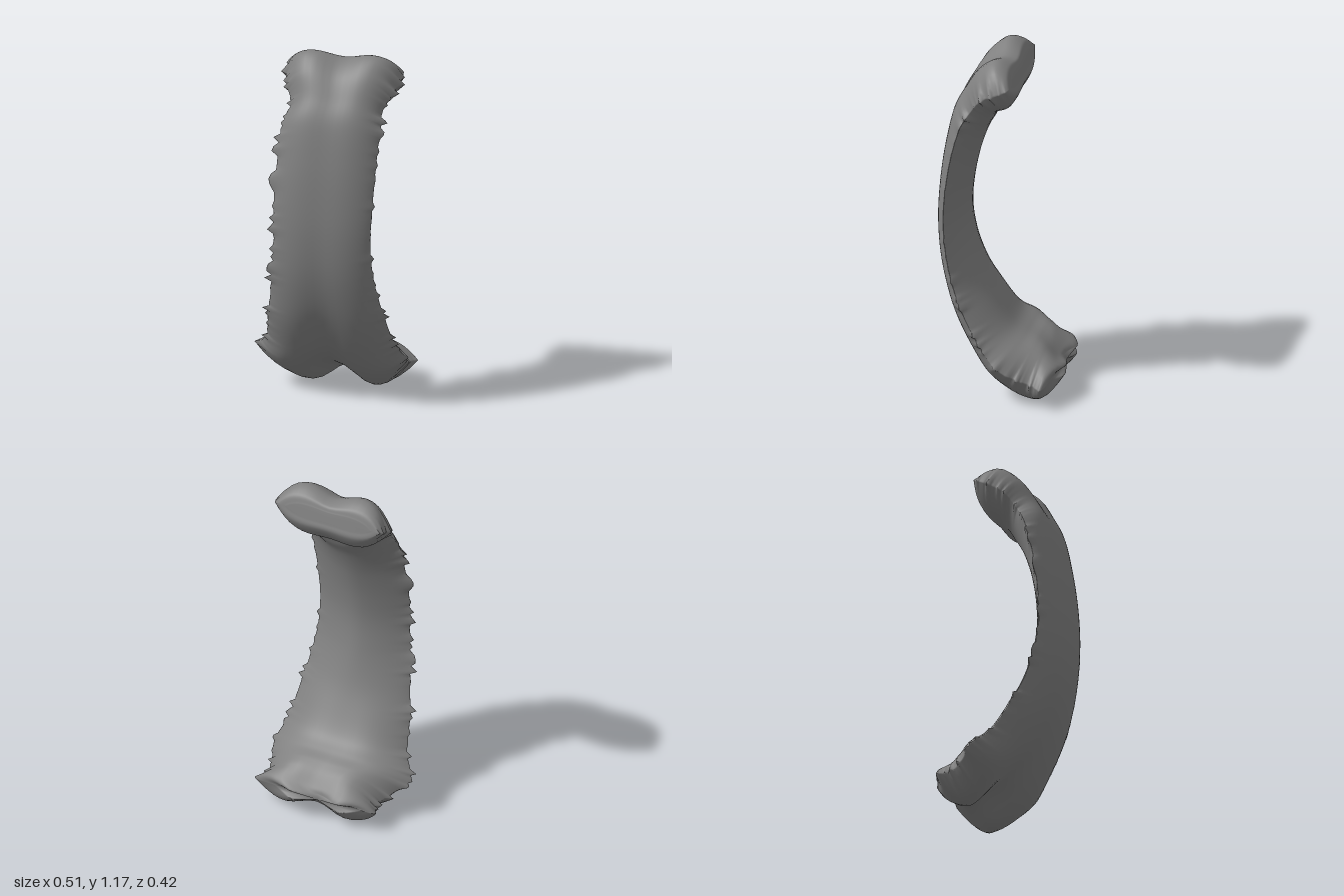
import * as THREE from 'three';

// Cross-sections from the upper end to the lower end:
// outer z, y | inner z, y | min x, max x | end factor (0 = shaft, 1 = end lobes) | groove depth
const SECTIONS = [
  [0.140, 1.130, 0.128, 1.09, -0.86, -0.56, 1.0, 0.2],
  [0.158, 1.158, 0.122, 1.06, -0.895, -0.52, 1.0, 0.28],
  [0.205, 1.172, 0.150, 1.01, -0.90, -0.51, 0.9, 0.3],
  [0.260, 1.130, 0.195, 0.98, -0.885, -0.53, 0.6, 0.24],
  [0.305, 1.060, 0.215, 0.945, -0.862, -0.55, 0.3, 0.15],
  [0.345, 0.980, 0.245, 0.89, -0.882, -0.55, 0.1, 0.1],
  [0.375, 0.850, 0.275, 0.80, -0.89, -0.555, 0, 0.08],
  [0.393, 0.720, 0.297, 0.69, -0.895, -0.56, 0, 0.08],
  [0.400, 0.600, 0.302, 0.59, -0.893, -0.565, 0, 0.1],
  [0.393, 0.480, 0.285, 0.49, -0.90, -0.56, 0, 0.12],
  [0.370, 0.370, 0.250, 0.385, -0.915, -0.545, 0.1, 0.15],
  [0.335, 0.270, 0.205, 0.30, -0.935, -0.53, 0.25, 0.25],
  [0.283, 0.170, 0.155, 0.23, -0.95, -0.52, 0.35, 0.4],
  [0.222, 0.085, 0.110, 0.20, -0.99, -0.497, 0.4, 0.6],
  [0.150, 0.025, 0.070, 0.185, -0.95, -0.515, 0.5, 0.75],
  [0.085, 0.000, 0.040, 0.165, -0.92, -0.525, 0.7, 0.7],
  [0.040, 0.020, 0.012, 0.130, -0.935, -0.505, 0.9, 0.6],
  [0.005, 0.075, 0.003, 0.105, -0.89, -0.59, 1.0, 0.3],
];
const ROWS = 140, RING = 48;

function seeded(seed) {
  return () => (seed = (seed * 16807) % 2147483647) / 2147483647;
}

// Smooth curve through chosen columns of the section table
function track(a, b) {
  const pts = SECTIONS.map(r => new THREE.Vector3(r[a], r[b], 0));
  return new THREE.CatmullRomCurve3(pts, false, 'catmullrom', 0.5);
}

function boneGeometry() {
  const outer = track(0, 1), inner = track(2, 3), width = track(4, 5), shape = track(6, 7);
  const rand = seeded(71);
  const pos = [], index = [];

  for (let i = 0; i <= ROWS; i++) {
    const t = i / ROWS;
    const o = outer.getPoint(t), n = inner.getPoint(t), w = width.getPoint(t), k = shape.getPoint(t);
    const end = THREE.MathUtils.clamp(k.x, 0, 1);
    const groove = Math.max(k.y, 0);
    const mid = (w.x + w.y) / 2, half = (w.y - w.x) / 2;
    const edge = 0.6 - 0.12 * end;
    // sparse spurs along the side margins, fading out at both ends
    const rough = 0.026 * Math.min(1, 8 * t, 8 * (1 - t));
    const jag = [(rand() ** 5 - 0.17) * rough, (rand() ** 5 - 0.17) * rough];
    // paired knobs push out beyond the lower end
    const push = 0.026 * THREE.MathUtils.smoothstep(t, 0.88, 1);

    for (let j = 0; j < RING; j++) {
      const a = (j / RING) * Math.PI * 2;
      const s = -Math.cos(a), m = Math.min(1, Math.abs(s));
      const dip = groove * Math.exp(-((s / 0.32) ** 2));
      let f;
      if (a < Math.PI) {
        // front: two long ridges with a groove between them
        f = edge + (1 - edge) * ((1 - m ** (3 + 2 * end)) * (1 + 0.2 * groove * m) - dip);
      } else {
        // back: rounded keel on the shaft, broad and slightly hollow at the ends
        f = edge * (m ** (1.6 + 3 * end) + 0.3 * end * dip);
      }
      const x = mid + s * half + Math.sign(s) * m ** 10 * jag[s < 0 ? 0 : 1];
      const knob = push * Math.exp(-(((m - 0.52) / 0.28) ** 2));
      pos.push(x, n.y + (o.y - n.y) * f, n.x + (o.x - n.x) * f - knob);
    }
  }

  for (let i = 0; i < ROWS; i++) {
    for (let j = 0; j < RING; j++) {
      const a = i * RING + j, b = i * RING + (j + 1) % RING;
      index.push(a, a + RING, b, b, a + RING, b + RING);
    }
  }

  // close both ends
  for (const row of [0, ROWS]) {
    const c = [0, 0, 0];
    for (let j = 0; j < RING; j++) {
      for (let q = 0; q < 3; q++) c[q] += pos[(row * RING + j) * 3 + q] / RING;
    }
    const centre = pos.length / 3;
    pos.push(...c);
    for (let j = 0; j < RING; j++) {
      const a = row * RING + j, b = row * RING + (j + 1) % RING;
      if (row === 0) index.push(centre, a, b);
      else index.push(centre, b, a);
    }
  }

  const g = new THREE.BufferGeometry();
  g.setAttribute('position', new THREE.Float32BufferAttribute(pos, 3));
  g.setIndex(index);
  g.computeVertexNormals();
  return g;
}

export function createModel() {
  const group = new THREE.Group();
  group.name = 'curvedBone';
  const bone = new THREE.Mesh(boneGeometry(), new THREE.MeshStandardMaterial({ color: 0x808080 }));
  bone.name = 'boneShaft';
  group.add(bone);
  return group;
}
